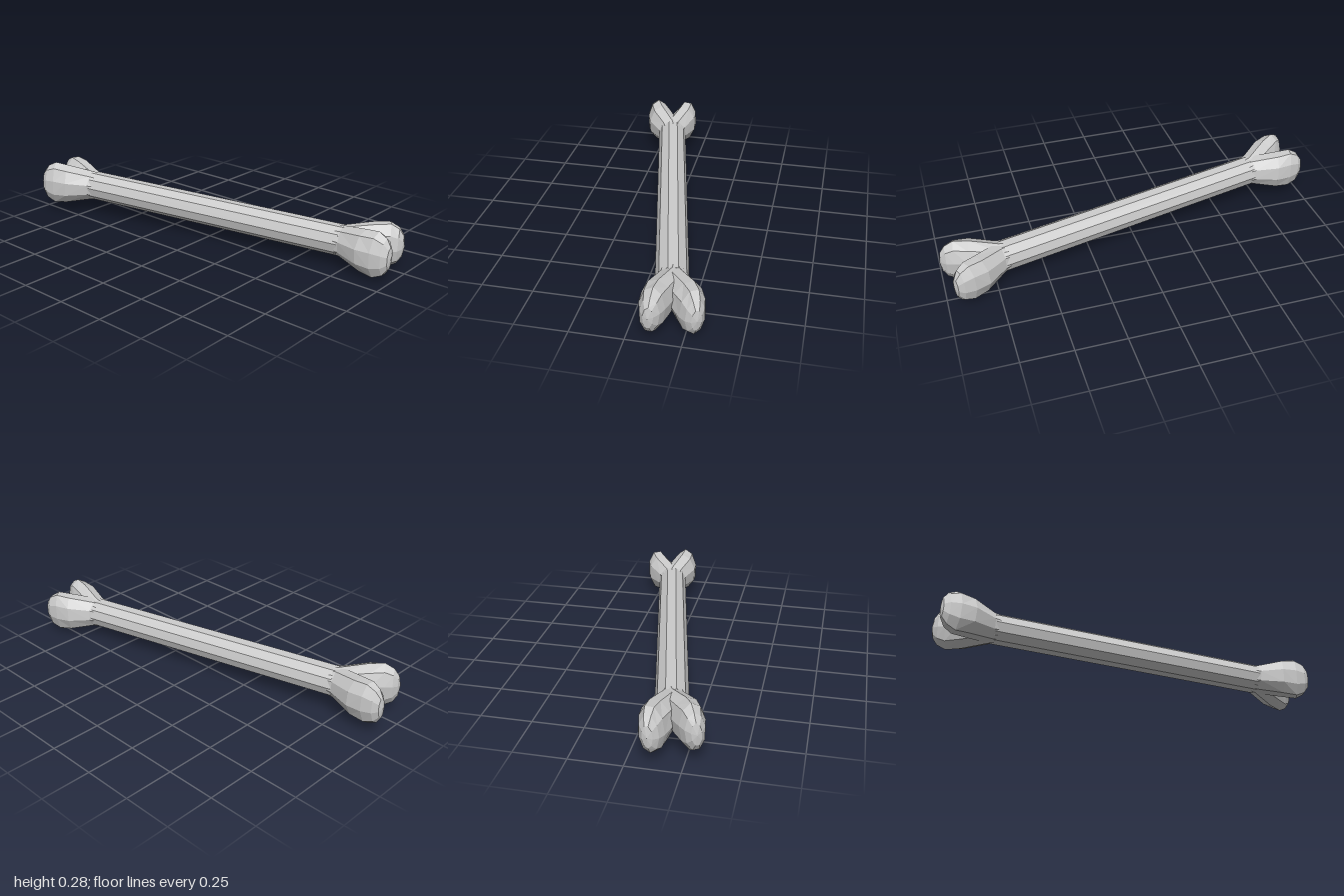
import * as THREE from 'three';

const SIDES = 9;

// Lobe cross-sections: distance along the bone, offset from its axis, half width, half height, tilt
const LOBE_RINGS = [
  [0.70, 0.0, 0.074, 0.074, 0],
  [0.73, 0.004, 0.076, 0.078, 0],
  [0.863, 0.066, 0.075, 0.106, 0.4],
  [0.93, 0.087, 0.062, 0.115, 0.36],
  [0.972, 0.097, 0.046, 0.092, 0.25],
  [0.995, 0.103, 0.024, 0.055, 0.2],
  [1.003, 0.105, 0, 0, 0],
];

// Lofts the rings into a closed-tip knob; end = +1 or -1 picks the end of the bone
function lobeGeometry(end) {
  const pos = [];
  const idx = [];
  LOBE_RINGS.forEach(([along, offset, hw, hh, tilt]) => {
    for (let j = 0; j < SIDES; j++) {
      const t = Math.PI / 2 + (j / SIDES) * Math.PI * 2;
      const w = hw * Math.cos(t);
      pos.push(end * (along - w * Math.sin(tilt)), hh * Math.sin(t), offset + w * Math.cos(tilt));
    }
  });
  const tri = (a, b, c) => (end > 0 ? idx.push(a, b, c) : idx.push(a, c, b));
  for (let i = 0; i < LOBE_RINGS.length - 1; i++) {
    for (let j = 0; j < SIDES; j++) {
      const a = i * SIDES + j;
      const b = i * SIDES + ((j + 1) % SIDES);
      tri(a, a + SIDES, b);
      if (i < LOBE_RINGS.length - 2) tri(b, a + SIDES, b + SIDES);
    }
  }
  const geo = new THREE.BufferGeometry();
  geo.setAttribute('position', new THREE.Float32BufferAttribute(pos, 3));
  geo.setIndex(idx);
  const flat = geo.toNonIndexed();
  flat.computeVertexNormals();
  return flat;
}

export function createModel() {
  const group = new THREE.Group();
  group.name = 'bone';
  const material = new THREE.MeshStandardMaterial({ color: 0xcccccc, flatShading: true });

  // Straight shaft along the local x axis
  const shaftGeo = new THREE.CylinderGeometry(0.077, 0.077, 1.45, 10);
  shaftGeo.rotateZ(Math.PI / 2);
  const shaft = new THREE.Mesh(shaftGeo, material);
  shaft.name = 'shaft';

  const bone = new THREE.Group();
  bone.name = 'boneBody';
  bone.add(shaft);

  // Two diverging knobs at each end
  for (const end of [1, -1]) {
    const geo = lobeGeometry(end);
    for (const side of ['front', 'back']) {
      const knob = new THREE.Mesh(geo, material);
      knob.name = `${side}${end > 0 ? 'Left' : 'Right'}Knob`;
      if (side === 'back') knob.rotation.x = Math.PI;
      bone.add(knob);
    }
  }

  // Resting pose: turned, slightly pitched and rolled
  bone.rotation.set(-0.06, 0.207, -0.022, 'YZX');
  bone.position.y = 0.148;
  group.add(bone);
  return group;
}
